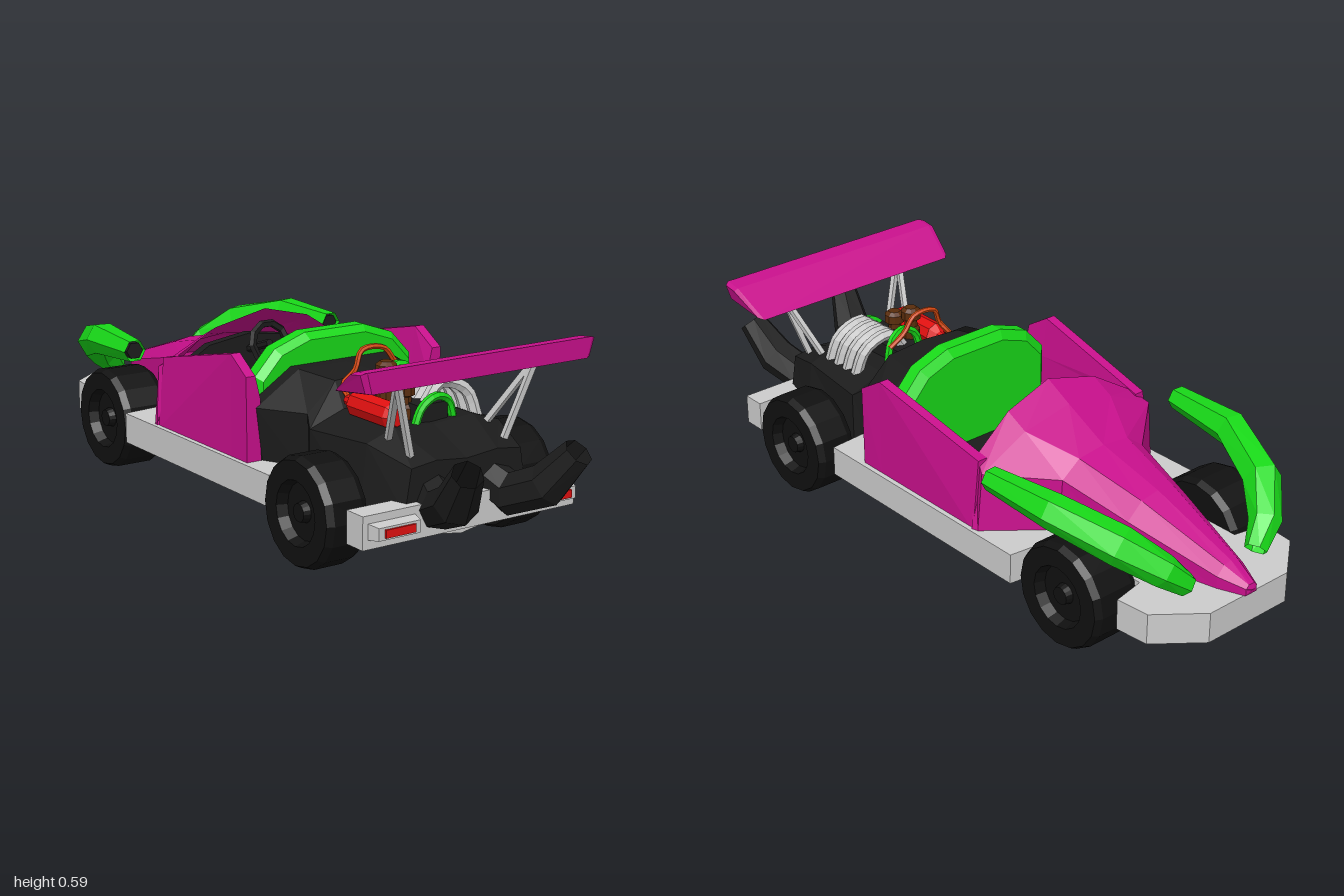
import * as THREE from 'three';

const mat = (color, side = THREE.FrontSide) =>
  new THREE.MeshStandardMaterial({ color, side, flatShading: true });
const grey = mat(0xcccccc);
const black = mat(0x1c1c1c);
const rubber = mat(0x101010);
const magenta = mat(0xc8108c, THREE.DoubleSide);
const green = mat(0x18d818, THREE.DoubleSide);
const red = mat(0xe01010);
const brown = mat(0x5a2d0c);
const orange = mat(0xd84a10);
const darkTube = mat(0x1c1c1c, THREE.DoubleSide);
const V = (x, y, z) => new THREE.Vector3(x, y, z);

// Skin over rings of equal point count; the winding is set outward by volume.
function loft(rings, caps = true) {
  const n = rings[0].length, pts = rings.flat(), idx = [];
  for (let i = 0; i < rings.length - 1; i++)
    for (let j = 0; j < n; j++) {
      const a = i * n + j, b = i * n + (j + 1) % n;
      idx.push(a, b, b + n, a, b + n, a + n);
    }
  if (caps) {
    const e = (rings.length - 1) * n;
    for (let j = 1; j < n - 1; j++) idx.push(0, j + 1, j, e, e + j, e + j + 1);
  }
  let vol = 0;
  for (let i = 0; i < idx.length; i += 3)
    vol += pts[idx[i]].dot(pts[idx[i + 1]].clone().cross(pts[idx[i + 2]]));
  if (vol < 0) idx.reverse();
  const geo = new THREE.BufferGeometry().setFromPoints(pts);
  geo.setIndex(idx);
  const flat = geo.toNonIndexed();
  flat.computeVertexNormals();
  return flat;
}

// Full ring from a half section running bottom to top centre; entries [x, y, zOffset].
function ring(z, half) {
  const right = half.map(([x, y, dz = 0]) => V(x, y, z + dz));
  const left = right.slice(0, -1).reverse().map(p => V(-p.x, p.y, p.z));
  return [...right, ...left];
}

// Tube along a bent path with a radius at each point.
function sweep(path, radii, sides, caps) {
  const rings = path.map((p, i) => {
    const t = path[Math.min(i + 1, path.length - 1)].clone().sub(path[Math.max(i - 1, 0)]).normalize();
    const u = V(0, 1, 0).cross(t).normalize(), v = t.clone().cross(u);
    return Array.from({ length: sides }, (_, k) => {
      const a = (k / sides) * Math.PI * 2;
      return p.clone().addScaledVector(u, Math.cos(a) * radii[i]).addScaledVector(v, Math.sin(a) * radii[i]);
    });
  });
  return loft(rings, caps);
}

function rod(a, b, r, sides = 6) {
  const geo = new THREE.CylinderGeometry(r, r, a.distanceTo(b), sides);
  geo.applyQuaternion(new THREE.Quaternion().setFromUnitVectors(V(0, 1, 0), b.clone().sub(a).normalize()));
  const c = a.clone().add(b).multiplyScalar(0.5);
  return geo.translate(c.x, c.y, c.z);
}

const hose = (pts, r, seg = 14) =>
  new THREE.TubeGeometry(new THREE.CatmullRomCurve3(pts), seg, r, 6);

export function createModel() {
  const car = new THREE.Group();
  car.name = 'openRacer';
  const add = (name, geo, m, parent = car) => {
    const mesh = new THREE.Mesh(geo, m);
    mesh.name = name;
    parent.add(mesh);
    return mesh;
  };
  // Adds a part and its mirror image on the other side
  const pair = (name, geo, m) => {
    add(name + 'Left', geo, m);
    add(name + 'Right', geo, m).scale.x = -1;
  };
  const box = (w, h, d, x, y, z) => new THREE.BoxGeometry(w, h, d).translate(x, y, z);

  // Flat chassis with notches for the front wheels
  const half = [[0.145, -0.99], [0.27, -0.89], [0.28, -0.79], [0.18, -0.77], [0.18, -0.47],
    [0.345, -0.45], [0.345, 0.33], [0.22, 0.34], [0.2, 0.72]];
  const plan = [...half, ...half.map(([x, z]) => [-x, z]).reverse()].map(p => new THREE.Vector2(...p));
  const chassis = new THREE.ExtrudeGeometry(new THREE.Shape(plan), { depth: 0.09, bevelEnabled: false });
  add('chassis', chassis.rotateX(Math.PI / 2).translate(0, 0.21, 0), grey);
  add('keel', loft([[-0.8, 0.12, 0.14], [-0.47, 0.09, 0.18], [0.72, 0.09, 0.18]].map(([z, y, x]) =>
    [V(-x, 0.122, z), V(0, y, z), V(x, 0.122, z)])), grey);

  // Nose and cowl
  const nose = [
    ring(-0.995, [[0.02, 0.21], [0.02, 0.23], [0.01, 0.24], [0, 0.24]]),
    ring(-0.92, [[0.05, 0.21], [0.05, 0.245], [0.025, 0.27], [0, 0.275]]),
    ring(-0.65, [[0.115, 0.21], [0.11, 0.31], [0.06, 0.355], [0, 0.365]]),
    ring(-0.44, [[0.16, 0.21], [0.15, 0.36], [0.09, 0.405], [0, 0.415]]),
    ring(-0.3, [[0.33, 0.21], [0.315, 0.38], [0.16, 0.455], [0, 0.485]]),
    ring(-0.25, [[0.335, 0.21, -0.03], [0.29, 0.41], [0.16, 0.49, 0.02], [0, 0.53, 0.035]]),
  ];
  add('noseBody', loft(nose, false), magenta);
  add('noseTip', loft([nose[0], nose[0].map(p => V(p.x * 0.3, 0.225, -1))]), magenta);
  const dash = [[0.27, 0.2], [0.26, 0.35], [0.14, 0.42], [0, 0.44]];
  add('dashboard', loft([ring(-0.33, dash), ring(-0.3, dash)]), black);

  // Cockpit side panels rising to the rear
  pair('sidePanel', loft([[-0.28, 0.41, 0.31], [0.12, 0.5, 0.33], [0.2, 0.45, 0.332]].map(([z, top, x]) =>
    [V(0.33, 0.2, z), V(x, top, z), V(x - 0.03, top, z), V(0.285, 0.38, z), V(0.285, 0.2, z)])), magenta);
  add('cockpitFloor', box(0.57, 0.05, 0.5, 0, 0.2, -0.05), black);
  const wheelRim = new THREE.TorusGeometry(0.06, 0.012, 5, 10).rotateX(-0.3).translate(0, 0.43, -0.19);
  add('steeringWheel', wheelRim, black);
  add('steeringColumn', rod(V(0, 0.43, -0.19), V(0, 0.39, -0.31), 0.012), black);

  // Seat back arch
  const arch = [[0.22, 0.22], [0.265, 0.32], [0.265, 0.43], [0.2, 0.5], [0.1, 0.535]];
  const archPts = [...arch, ...arch.map(([x, y]) => [-x, y]).reverse()];
  add('seatBack', loft([[0.08, 0.92], [0.1, 1], [0.14, 1], [0.16, 0.94]].map(([z, s]) =>
    archPts.map(([x, y]) => V(x * s, 0.22 + (y - 0.22) * s, z)))), green);

  // Engine cover: high hump behind the seat, then a low deck
  add('engineCover', loft([
    ring(0.16, [[0.28, 0.2], [0.3, 0.36], [0.16, 0.45], [0, 0.45]]),
    ring(0.2, [[0.28, 0.2], [0.3, 0.36], [0.16, 0.45], [0, 0.45]]),
    ring(0.33, [[0.21, 0.17], [0.22, 0.36], [0.13, 0.44], [0, 0.45]]),
    ring(0.37, [[0.24, 0.16], [0.24, 0.33], [0.13, 0.37], [0, 0.37]]),
    ring(0.6, [[0.24, 0.16], [0.22, 0.34], [0.13, 0.37], [0, 0.36]]),
    ring(0.74, [[0.2, 0.18], [0.18, 0.3], [0.1, 0.31], [0, 0.3]]),
  ]), black);

  // Wheels, with a recessed outer hub
  const tyre = (x, w, z) => {
    const r = 0.153, h = w / 2;
    const profile = [[0, -h], [0.09, -h], [r - 0.01, -h], [r, -h + 0.02], [r, h - 0.02], [r - 0.01, h],
      [0.09, h], [0.08, h - 0.03], [0.03, h - 0.03], [0.025, h - 0.01], [0, h - 0.01]];
    return new THREE.LatheGeometry(profile.map(p => new THREE.Vector2(...p)), 16)
      .rotateZ(-Math.PI / 2).translate(x, 0.155, z);
  };
  pair('rearWheel', tyre(0.314, 0.128, 0.505), rubber);
  pair('frontWheel', tyre(0.257, 0.15, -0.62), rubber);
  add('rearAxle', rod(V(-0.3, 0.155, 0.505), V(0.3, 0.155, 0.505), 0.03, 8), black);
  add('frontAxle', rod(V(-0.22, 0.155, -0.62), V(0.22, 0.155, -0.62), 0.025, 8), black);

  // Hollow front fenders
  pair('frontFender', sweep(
    [V(0.35, 0.415, -0.375), V(0.335, 0.41, -0.6), V(0.265, 0.36, -0.78), V(0.19, 0.295, -0.865), V(0.13, 0.24, -0.89)],
    [0.034, 0.05, 0.055, 0.045, 0.032], 6, false), green);
  pair('fenderLining', sweep([V(0.348, 0.415, -0.38), V(0.342, 0.412, -0.5)], [0.026, 0.026], 6, true), black);

  // Rear bumper and lights
  add('rearBumper', box(0.7, 0.09, 0.07, 0, 0.165, 0.73), grey);
  pair('lightFrame', loft([[0.76, 0.075, 0.022], [0.8, 0.065, 0.017]].map(([z, w, h]) =>
    [[-w, -h], [w, -h], [w, h], [-w, h]].map(([x, y]) => V(0.26 + x, 0.167 + y, z)))), grey);
  pair('tailLight', box(0.094, 0.022, 0.02, 0.26, 0.167, 0.796), red);

  // Upswept exhausts with hollow tips
  pair('exhaust', sweep(
    [V(0.09, 0.24, 0.68), V(0.115, 0.195, 0.78), V(0.15, 0.24, 0.885), V(0.18, 0.34, 0.965)],
    [0.05, 0.06, 0.06, 0.042], 7, false), darkTube);

  // Rear wing and its struts
  const wing = [[0.8, 0.587, 1], [0.75, 0.58, 1], [0.645, 0.508, 0.95], [0.8, 0.53, 0.96]];
  add('rearWing', loft([-0.38, -0.365, 0.365, 0.38].map((x, i) =>
    wing.map(([z, y, s]) => {
      const end = i % 3 === 0, cy = 0.55;
      return V(x * s, end ? cy + (y - cy) * 0.85 : y, end ? 0.74 + (z - 0.74) * 0.85 : z);
    }))), magenta);
  for (const z of [0.7, 0.6])
    pair('wingStrut', rod(V(0.225, 0.53, 0.735), V(0.155, 0.32, z), 0.011, 4), grey);

  // Engine block, headers and intakes
  const engine = new THREE.Group();
  engine.name = 'engine';
  car.add(engine);
  add('engineBlock', box(0.1, 0.06, 0.2, 0.01, 0.38, 0.48), black, engine);
  for (let i = 0; i < 4; i++) {
    const z = 0.42 + i * 0.042;
    const pts = [V(0.01, 0.4, z), V(0.06, 0.455, z), V(0.14, 0.425, z + 0.01), V(0.168, 0.34, z + 0.025)];
    add('headerPipe', hose(pts, 0.018, 10), grey, engine);
  }
  for (const [z, top] of [[0.44, 0.505], [0.52, 0.465]]) {
    const profile = [[0, 0.34], [0.028, 0.34], [0.028, top - 0.07], [0.02, top - 0.06], [0.02, top - 0.04],
      [0.03, top - 0.035], [0.03, top - 0.01], [0.018, top], [0, top]];
    const geo = new THREE.LatheGeometry(profile.map(p => new THREE.Vector2(...p)), 10);
    add('intakeStack', geo.translate(-0.04, 0, z), brown, engine);
  }
  for (const [z, x, top] of [[0.385, 0.035, 0.475], [0.585, 0.015, 0.43]]) {
    const pts = [V(x - 0.07, 0.35, z), V(x - 0.045, top - 0.025, z), V(x, top, z),
      V(x + 0.05, top - 0.02, z - 0.01), V(x + 0.07, 0.35, z - 0.01)];
    add('coolantHose', hose(pts, 0.012), green, engine);
  }

  // Pressure bottle with its feed line
  const bottle = [[0, -0.11], [0.025, -0.11], [0.037, -0.09], [0.037, 0.07], [0.018, 0.09], [0.014, 0.115], [0, 0.115]];
  add('bottle', new THREE.LatheGeometry(bottle.map(p => new THREE.Vector2(...p)), 8)
    .rotateX(-Math.PI / 2).translate(-0.12, 0.395, 0.49), red, engine);
  add('feedLine', hose([V(-0.12, 0.4, 0.38), V(-0.11, 0.43, 0.34), V(-0.085, 0.47, 0.36), V(-0.06, 0.52, 0.355),
    V(0.01, 0.52, 0.36), V(0.05, 0.475, 0.36), V(0.1, 0.44, 0.365)], 0.008, 24), orange, engine);

  return car;
}
